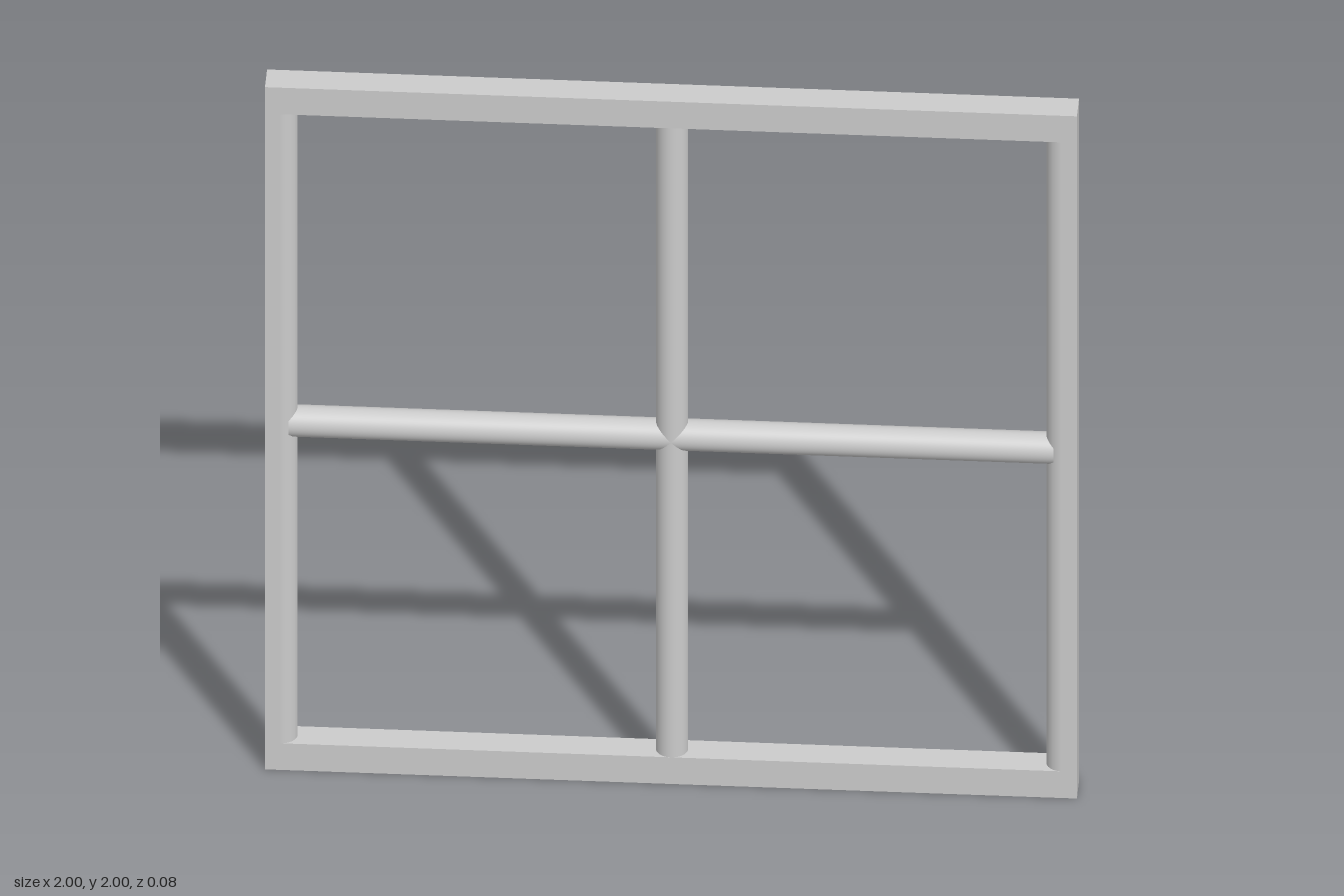
import * as THREE from 'three';

const SIZE = 2, R = 0.04, RAIL = 0.078;
const OPEN = SIZE / 2 - RAIL; // half width of the opening

export function createModel() {
  const group = new THREE.Group();
  group.name = 'windowFrame';
  const material = new THREE.MeshStandardMaterial({ color: 0xcccccc });
  const add = (name, geometry, x, y) => {
    const mesh = new THREE.Mesh(geometry, material);
    mesh.name = name;
    mesh.position.set(x, y, 0);
    group.add(mesh);
    return mesh;
  };

  // Flat rails across the full width
  const rail = new THREE.BoxGeometry(SIZE, RAIL, R * 2);
  add('bottomRail', rail, 0, RAIL / 2);
  add('topRail', rail, 0, SIZE - RAIL / 2);

  // Side stiles: square outside, half-round towards the opening
  const profile = new THREE.Shape();
  profile.moveTo(SIZE / 2, -R);
  profile.lineTo(SIZE / 2, R);
  profile.lineTo(OPEN + R, R);
  profile.absarc(OPEN + R, 0, R, Math.PI / 2, Math.PI * 1.5, false);
  profile.closePath();
  const stile = new THREE.ExtrudeGeometry(profile, {
    depth: OPEN * 2, bevelEnabled: false, curveSegments: 24,
  });
  stile.rotateX(-Math.PI / 2);
  add('leftStile', stile, 0, RAIL);
  add('rightStile', stile, 0, RAIL).rotation.y = Math.PI;

  // Round glazing bars crossing in the middle, ends sunk into the frame
  const bar = new THREE.CylinderGeometry(R, R, OPEN * 2 + R, 48);
  add('verticalBar', bar, 0, SIZE / 2);
  add('horizontalBar', bar, 0, SIZE / 2).rotation.z = Math.PI / 2;

  return group;
}
